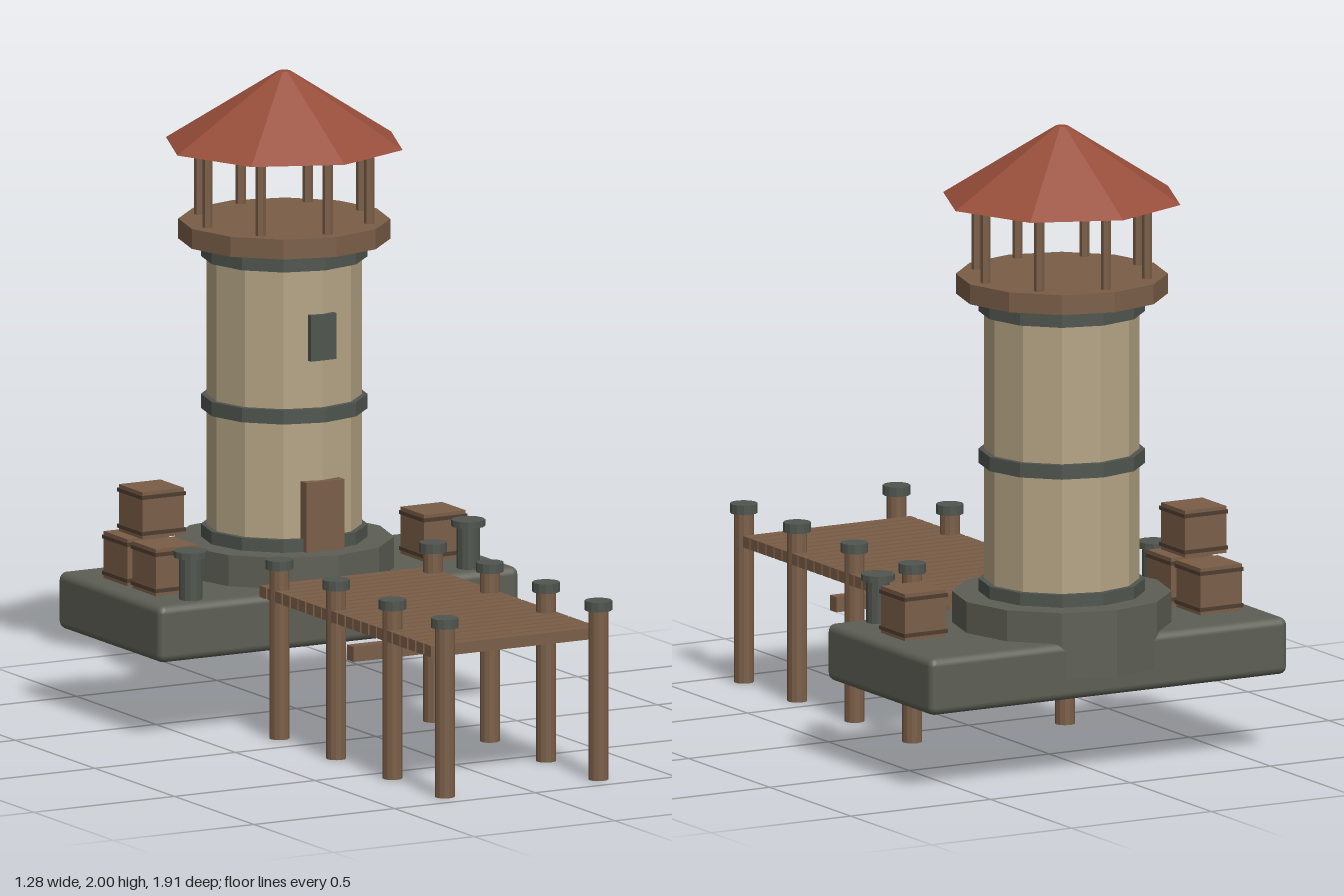
import * as THREE from 'three';
import { RoundedBoxGeometry } from 'three/addons/geometries/RoundedBoxGeometry.js';
import { toCreasedNormals } from 'three/addons/utils/BufferGeometryUtils.js';

function material(name, color) {
  const m = new THREE.MeshStandardMaterial({ color });
  m.name = name;
  return m;
}

export function createModel() {
  const model = new THREE.Group();
  model.name = 'dockWatchtower';

  const stone = material('dark stone', 0x5d5e54);
  const slate = material('slate trim', 0x50554e);
  const plaster = material('sandy wall', 0xb5a485);
  const wood = material('brown wood', 0x7a5e47);
  const darkWood = material('dark wood', 0x4f3d2f);
  const tile = material('red roof', 0x984e3b);

  function add(parent, name, geometry, mat, x, y, z) {
    const mesh = new THREE.Mesh(geometry, mat);
    mesh.name = name;
    mesh.position.set(x, y, z);
    parent.add(mesh);
    return mesh;
  }
  const box = (parent, name, mat, w, h, d, x, y, z) =>
    add(parent, name, new THREE.BoxGeometry(w, h, d), mat, x, y, z);

  // Faceted cylinder given by its bottom and top heights
  function drum(parent, name, mat, rTop, rBottom, y0, y1, x, z, sides = 12) {
    const geometry = toCreasedNormals(
      new THREE.CylinderGeometry(rTop, rBottom, y1 - y0, sides), 0.35);
    return add(parent, name, geometry, mat, x, (y0 + y1) / 2, z);
  }

  // Quay block
  add(model, 'quay', new RoundedBoxGeometry(1.28, 0.18, 0.65, 2, 0.025), stone, 0, 0.342, -0.55);

  // Tower
  const tower = new THREE.Group();
  tower.name = 'tower';
  tower.position.z = -0.577;
  model.add(tower);
  drum(tower, 'plinth', stone, 0.34, 0.34, 0.32, 0.53, 0, 0);
  drum(tower, 'wall', plaster, 0.24, 0.24, 0.53, 1.455, 0, 0);
  for (const [y0, y1] of [[0.53, 0.57], [0.935, 0.98], [1.415, 1.46]]) {
    drum(tower, 'stoneBand', slate, 0.258, 0.258, y0, y1, 0, 0);
  }
  box(tower, 'door', wood, 0.135, 0.22, 0.05, 0, 0.64, 0.233);
  box(tower, 'window', slate, 0.09, 0.145, 0.035, 0, 1.202, 0.231);

  // Lookout with eight posts under an octagonal roof
  drum(tower, 'lookoutFloor', wood, 0.328, 0.328, 1.47, 1.533, 0, 0);
  for (let i = 0; i < 8; i++) {
    const a = (i * Math.PI) / 4;
    drum(tower, 'roofPost', wood, 0.016, 0.016, 1.53, 1.78,
      0.273 * Math.sin(a), 0.273 * Math.cos(a), 6);
  }
  drum(tower, 'roof', tile, 0.02, 0.38, 1.77, 2, 0, 0, 8);

  // Crates with thin raised bands
  function crate(x, y, z) {
    const group = new THREE.Group();
    group.name = 'crate';
    group.position.set(x, y, z);
    box(group, 'crateBody', wood, 0.148, 0.148, 0.148, 0, 0.074, 0);
    for (const h of [0.017, 0.131]) {
      box(group, 'crateBand', darkWood, 0.156, 0.012, 0.156, 0, h, 0);
    }
    model.add(group);
  }
  crate(-0.493, 0.432, -0.635);
  crate(-0.493, 0.432, -0.455);
  crate(-0.493, 0.597, -0.54);
  crate(0.493, 0.432, -0.513);

  // Mooring bollards on the quay
  for (const x of [-0.493, 0.493]) {
    drum(model, 'bollard', slate, 0.036, 0.036, 0.43, 0.57, x, -0.293);
    drum(model, 'bollardCap', slate, 0.053, 0.053, 0.565, 0.585, x, -0.293);
  }

  // Pier: planks, capped piles and a cross beam
  const pier = new THREE.Group();
  pier.name = 'pier';
  model.add(pier);
  for (let i = 0; i < 22; i++) {
    box(pier, 'plank', wood, 0.6, 0.036, 0.041, 0, 0.453, -0.182 + i * 0.0493);
  }
  for (const z of [-0.125, 0.232, 0.585, 0.914]) {
    for (const x of [-0.273, 0.273]) {
      drum(pier, 'pile', wood, 0.031, 0.031, 0, 0.54, x, z);
      drum(pier, 'pileCap', slate, 0.043, 0.043, 0.535, 0.565, x, z);
    }
  }
  box(pier, 'crossBeam', wood, 0.57, 0.048, 0.04, 0, 0.352, 0.342);

  return model;
}
